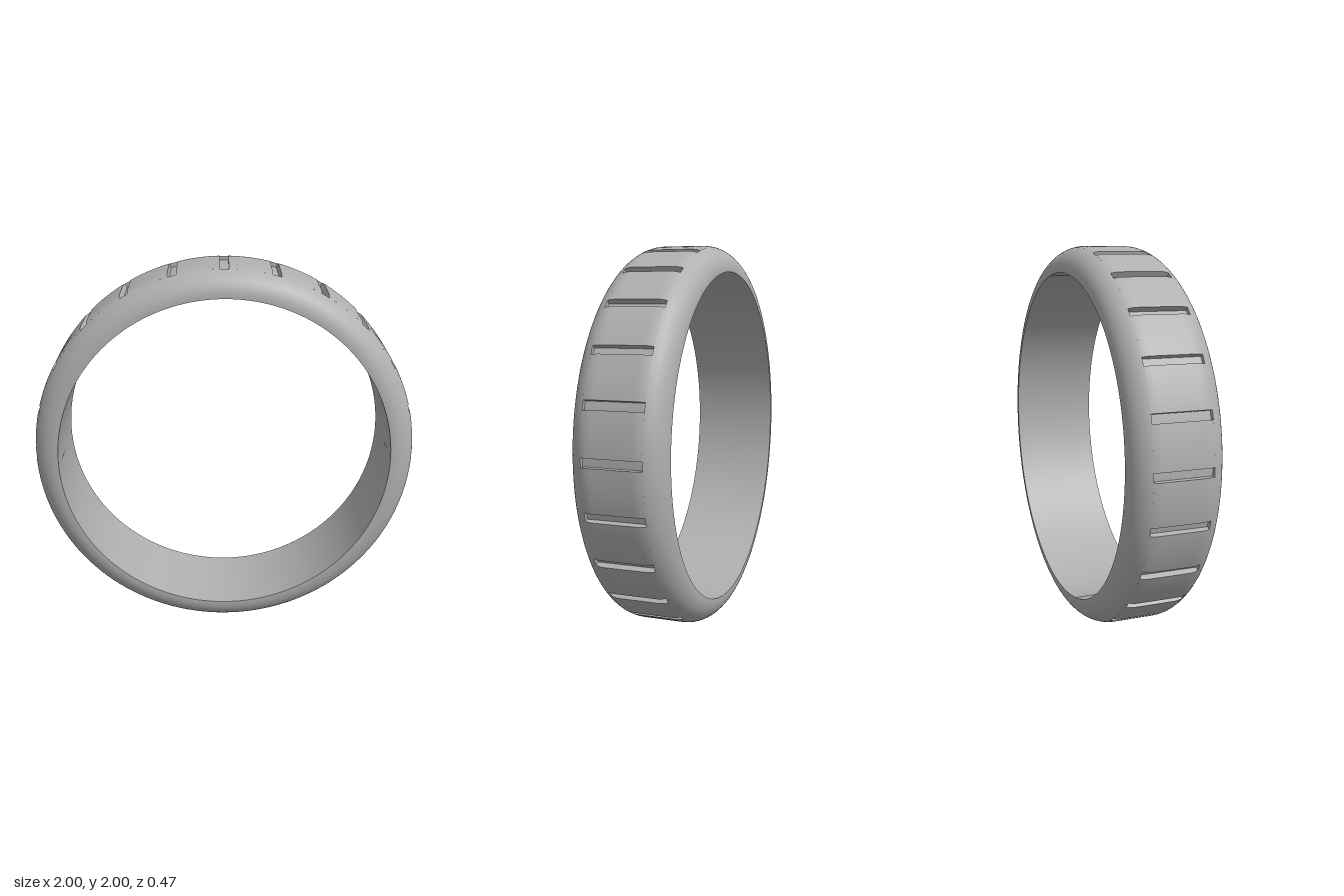
import * as THREE from 'three';
import { mergeGeometries } from 'three/addons/utils/BufferGeometryUtils.js';

const INNER = 0.865, HALF = 0.235, FILLET = 0.13; // ring section
const SLOTS = 24, SLOT_HALF = 0.15, SLOT_FLOOR = 0.97, SLOT_ANGLE = 0.0225;
const STEP = (Math.PI * 2) / SLOTS;

// Outer radius of the ring at axial position z
function outerRadius(z) {
  const d = Math.max(0, Math.abs(z) - (HALF - FILLET));
  return 1 - FILLET + Math.sqrt(Math.max(0, FILLET * FILLET - d * d));
}

// Section points of the rounded shoulder, from the side face to the slot end
function shoulder(sign) {
  const pts = [new THREE.Vector2(INNER, sign * HALF)];
  const end = Math.acos((SLOT_HALF - HALF + FILLET) / FILLET);
  for (let i = 0; i <= 14; i++) {
    const a = (end * i) / 14;
    pts.push(new THREE.Vector2(1 - FILLET + FILLET * Math.sin(a), sign * (HALF - FILLET + FILLET * Math.cos(a))));
  }
  return sign < 0 ? pts : pts.reverse();
}

// Section points of the tread between the slot ends
function treadProfile() {
  const pts = [];
  for (let i = 0; i <= 20; i++) {
    const z = -SLOT_HALF + (2 * SLOT_HALF * i) / 20;
    pts.push(new THREE.Vector2(outerRadius(z), z));
  }
  return pts;
}

// Radial wall of a slot; dir = 1 faces growing angle, -1 the other way
function slotWall(tread, angle, dir) {
  const pts = [
    new THREE.Vector2(-dir * SLOT_FLOOR, -SLOT_HALF),
    ...tread.map((p) => new THREE.Vector2(-dir * p.x, p.y)),
    new THREE.Vector2(-dir * SLOT_FLOOR, SLOT_HALF),
  ];
  return new THREE.ShapeGeometry(new THREE.Shape(pts)).rotateY(angle + (dir * Math.PI) / 2);
}

export function createModel() {
  const group = new THREE.Group();
  const grey = new THREE.MeshStandardMaterial({ color: 0xb0b0b0 });
  grey.name = 'grey';
  const v = (r, z) => new THREE.Vector2(r, z);

  // Lathe axis turned from y to z, ring lifted onto the ground
  const add = (name, geometry) => {
    const mesh = new THREE.Mesh(geometry.rotateX(Math.PI / 2), grey);
    mesh.name = name;
    mesh.position.y = 1;
    group.add(mesh);
  };

  // Smooth bore and rounded shoulders
  add('innerBore', new THREE.LatheGeometry([v(INNER, HALF), v(INNER, -HALF)], 144));
  add('frontShoulder', new THREE.LatheGeometry(shoulder(1), 144));
  add('backShoulder', new THREE.LatheGeometry(shoulder(-1), 144));

  // Tread blocks and the recessed slots between them
  const tread = treadProfile();
  const edge = outerRadius(SLOT_HALF);
  const lands = [], slots = [];
  for (let i = 0; i < SLOTS; i++) {
    const a = i * STEP, start = a - SLOT_ANGLE, width = 2 * SLOT_ANGLE;
    lands.push(new THREE.LatheGeometry(tread, 6, a + SLOT_ANGLE, STEP - width));
    slots.push(
      new THREE.LatheGeometry([v(SLOT_FLOOR, -SLOT_HALF), v(SLOT_FLOOR, SLOT_HALF)], 2, start, width),
      new THREE.LatheGeometry([v(edge, -SLOT_HALF), v(SLOT_FLOOR, -SLOT_HALF)], 2, start, width),
      new THREE.LatheGeometry([v(SLOT_FLOOR, SLOT_HALF), v(edge, SLOT_HALF)], 2, start, width),
      slotWall(tread, start, 1),
      slotWall(tread, a + SLOT_ANGLE, -1),
    );
  }
  add('treadBlocks', mergeGeometries(lands));
  add('treadSlots', mergeGeometries(slots));
  return group;
}
